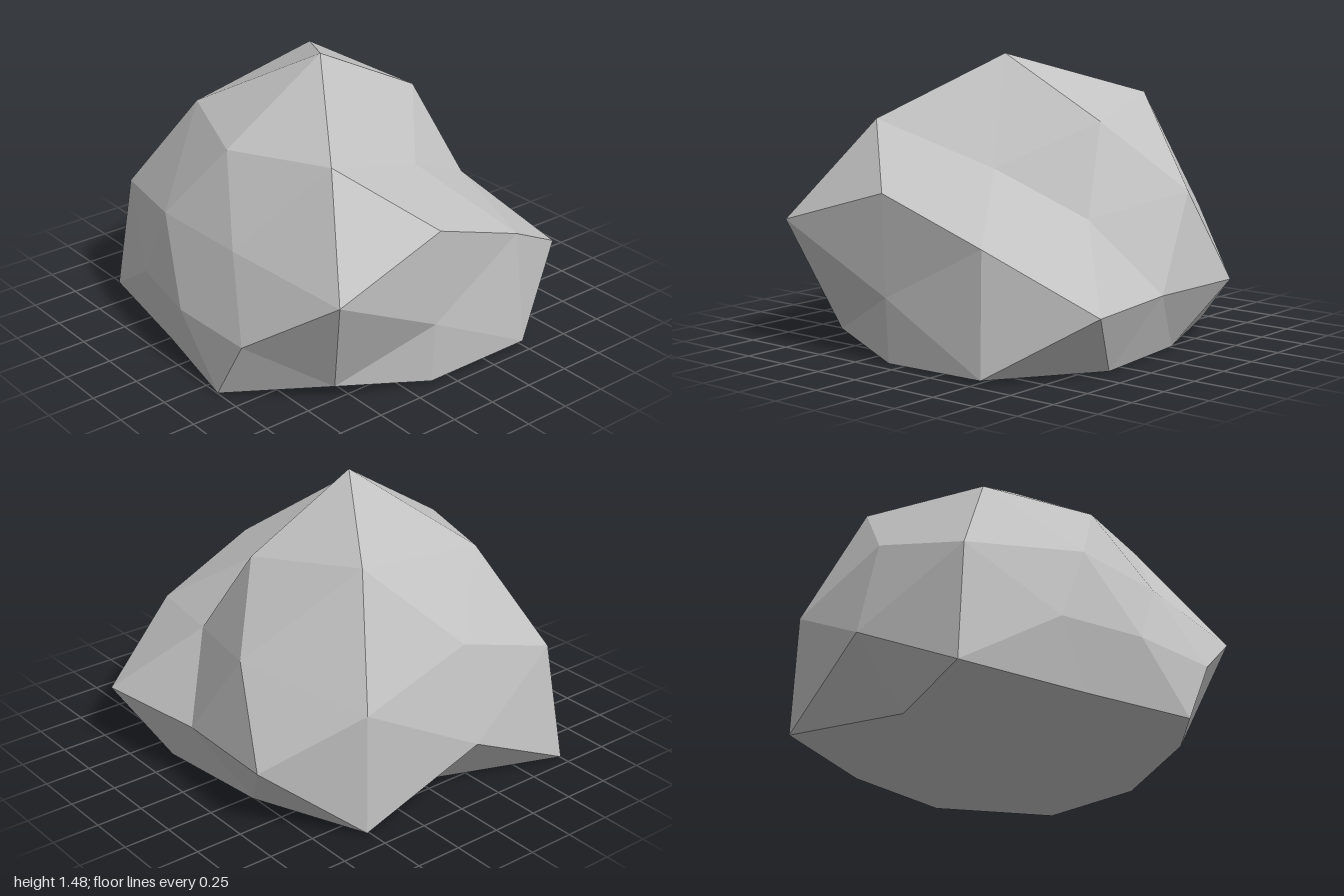
import * as THREE from 'three';

// Direction families of a once-subdivided icosahedron. Each radius belongs to one
// combination of signs on the non-zero axes, counted +++, ++-, +-+, +-- ...
const FAMILIES = [
  { dir: [1, 0, 0], radii: [1.01, 0.89] },
  { dir: [0, 1, 0], radii: [1.386, 1] },
  { dir: [0, 0, 1], radii: [0.99, 1.115] },
  { dir: [0.526, 0.851, 0], radii: [1.18, 1, 1.11, 1] },
  { dir: [0, 0.526, 0.851], radii: [1.185, 1.155, 1.14, 0.925] },
  { dir: [0.851, 0, 0.526], radii: [1.292, 1.206, 1.03, 0.94] },
  { dir: [0.309, 0.809, 0.5], radii: [0.91, 1.39, 1, 1, 1.235, 1.215, 1, 1] },
  { dir: [0.809, 0.5, 0.309], radii: [0.925, 1.15, 1.145, 1.06, 0.925, 0.964, 1.11, 0.96] },
  { dir: [0.5, 0.309, 0.809], radii: [1.16, 1.22, 1.225, 1.245, 1.292, 1.195, 0.98, 1.31] },
];

const CENTER = new THREE.Vector3(-0.1, 0.33, 0.03);
const SCALE = new THREE.Vector3(1, 0.83, 0.915);

// Radius of the boulder in the direction of a unit-sphere vertex
function radiusAt(v) {
  const p = v.toArray();
  const family = FAMILIES.find(({ dir }) =>
    dir.reduce((sum, d, i) => sum + d * Math.abs(p[i]), 0) > 0.98);
  const index = family.dir.reduce((n, d, i) => (d === 0 ? n : n * 2 + (p[i] < 0 ? 1 : 0)), 0);
  return family.radii[index];
}

export function createModel() {
  const group = new THREE.Group();
  group.name = 'boulder';

  const stone = new THREE.MeshStandardMaterial({ color: 0xc2c2c2, flatShading: true });
  stone.name = 'light stone grey';

  // Faceted rock: pushed in and out radially, with a flat underside on the ground
  const geometry = new THREE.IcosahedronGeometry(1, 1);
  const position = geometry.attributes.position;
  const v = new THREE.Vector3();
  for (let i = 0; i < position.count; i++) {
    v.fromBufferAttribute(position, i);
    v.multiplyScalar(radiusAt(v)).multiply(SCALE).add(CENTER);
    position.setXYZ(i, v.x, Math.max(v.y, 0), v.z);
  }
  geometry.computeVertexNormals();

  const rock = new THREE.Mesh(geometry, stone);
  rock.name = 'rock';
  group.add(rock);
  return group;
}
